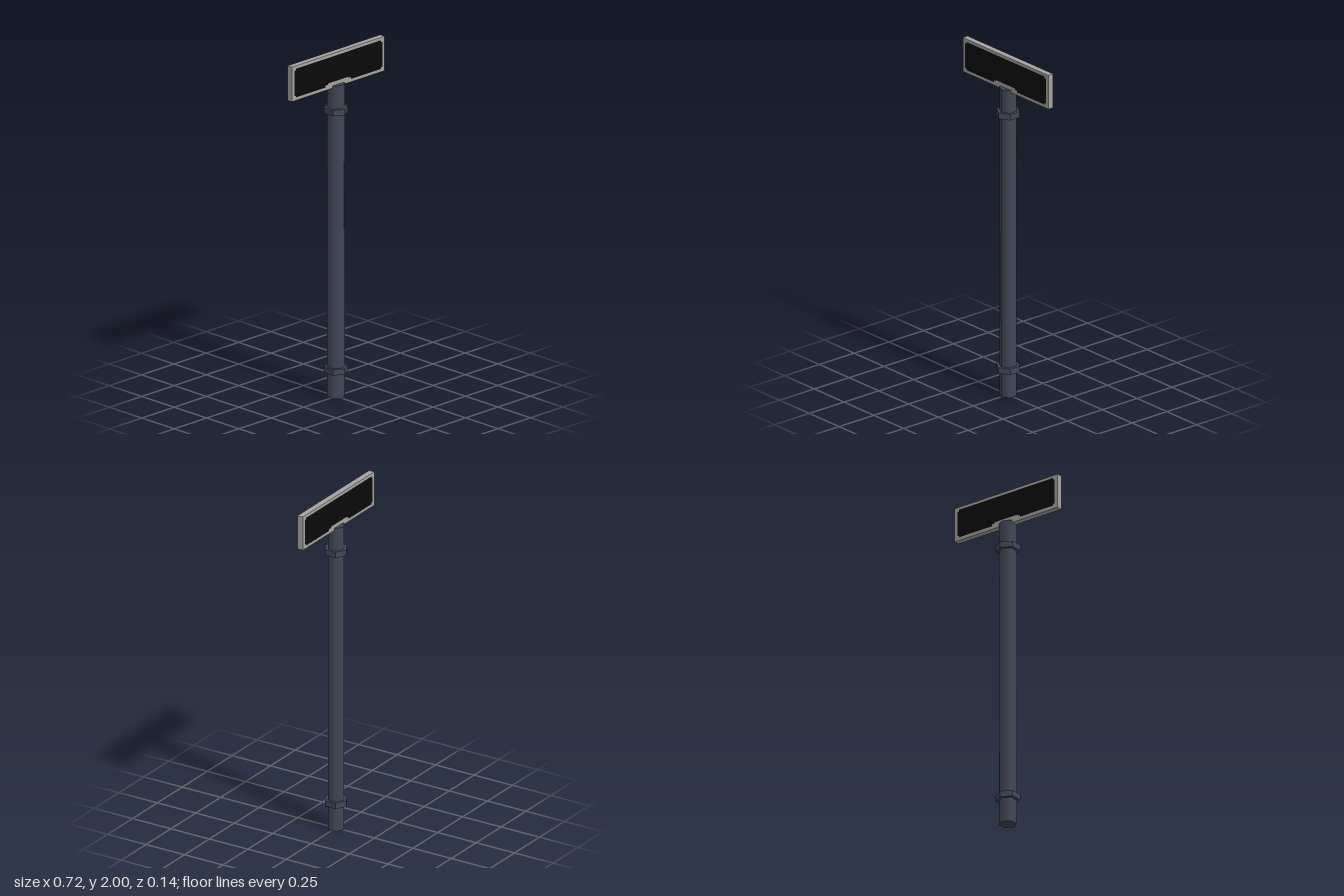
import * as THREE from 'three';

export function createModel() {
  const model = new THREE.Group();
  const steel = new THREE.MeshStandardMaterial({ color: 0x434856 });
  steel.name = 'dark blue steel';
  const frameGrey = new THREE.MeshStandardMaterial({ color: 0xa6a5a3 });
  frameGrey.name = 'frame grey';
  const black = new THREE.MeshStandardMaterial({ color: 0x0b0b0b });
  black.name = 'panel black';

  const add = (name, geometry, material, x = 0, y = 0, z = 0) => {
    const mesh = new THREE.Mesh(geometry, material);
    mesh.name = name;
    mesh.position.set(x, y, z);
    model.add(mesh);
    return mesh;
  };

  // Hexagonal pole, smooth around its sides
  const poleHeight = 1.813;
  add('pole', new THREE.CylinderGeometry(0.05, 0.05, poleHeight, 6), steel, 0, poleHeight / 2, 0);

  // Faceted collars near both ends
  const collar = new THREE.CylinderGeometry(0.068, 0.068, 0.034, 6).toNonIndexed();
  collar.computeVertexNormals();
  add('lowerCollar', collar, steel, 0, 0.16, 0);
  add('upperCollar', collar, steel, 0, 1.662, 0);

  // Sign board
  add('signBoard', new THREE.BoxGeometry(0.718, 0.2, 0.034), frameGrey, 0, 1.9, 0);

  // Black face with clipped corners and a stepped notch above the pole
  const half = [
    [0.08, 1.836], [0.08, 1.829], [0.098, 1.829], [0.098, 1.818], [0.328, 1.818],
    [0.328, 1.828], [0.34, 1.828], [0.34, 1.974], [0.328, 1.974], [0.328, 1.984],
  ];
  const outline = [...half, ...half.map(([x, y]) => [-x, y]).reverse()];
  const face = new THREE.ShapeGeometry(
    new THREE.Shape(outline.map(([x, y]) => new THREE.Vector2(x, y)))
  );
  add('frontPanel', face, black, 0, 0, 0.0185);
  add('backPanel', face, black, 0, 0, -0.0185).rotation.y = Math.PI;

  return model;
}
